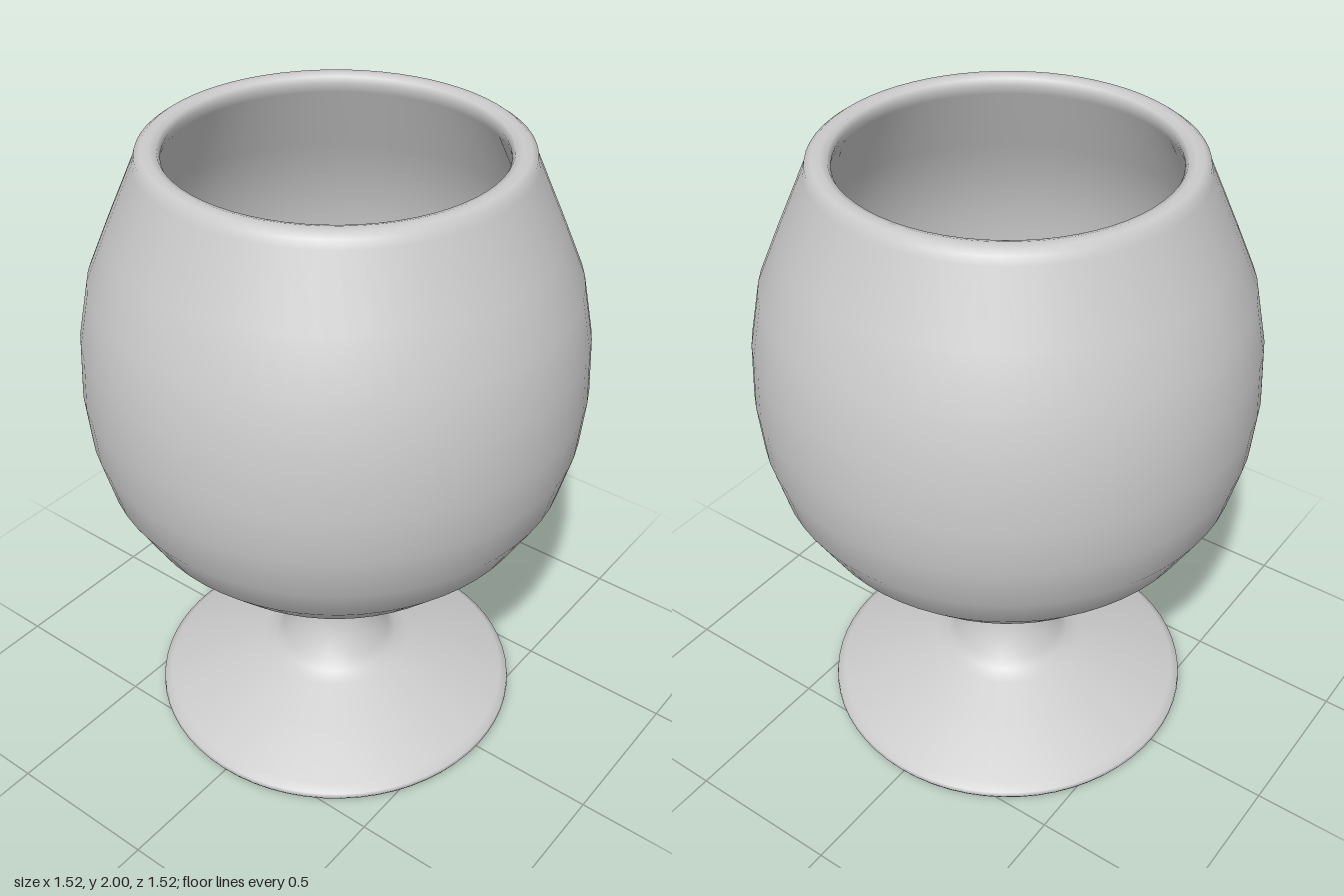
import * as THREE from 'three';

const SEGMENTS = 64;

// Revolves a list of [radius, height] pairs into a smooth surface.
function turned(name, profile, material) {
  const points = profile.map(([r, y]) => new THREE.Vector2(r, y));
  const mesh = new THREE.Mesh(new THREE.LatheGeometry(points, SEGMENTS), material);
  mesh.name = name;
  return mesh;
}

export function createModel() {
  const group = new THREE.Group();
  group.name = 'snifterGlass';
  const material = new THREE.MeshStandardMaterial({ color: 0xcccccc });

  // Shallow hollow under the foot
  group.add(turned('footUnderside', [
    [0, 0.08], [0.15, 0.065], [0.35, 0.035], [0.54, 0.01], [0.58, 0],
  ], material));

  // Foot rim and cone, flowing into the stem
  group.add(turned('footAndStem', [
    [0.58, 0], [0.595, 0.008], [0.602, 0.02], [0.6, 0.035], [0.575, 0.052],
    [0.4, 0.117], [0.25, 0.172], [0.205, 0.19], [0.18, 0.22], [0.15, 0.272],
    [0.13, 0.33], [0.125, 0.39], [0.135, 0.45], [0.16, 0.5], [0.2, 0.533],
    [0.26, 0.555], [0.34, 0.575],
  ], material));

  // Bowl: outer wall, rounded lip, inner wall and floor
  group.add(turned('bowl', [
    [0.34, 0.575], [0.43, 0.64], [0.52, 0.715], [0.63, 0.83], [0.71, 0.97],
    [0.748, 1.12], [0.76, 1.27], [0.75, 1.44], [0.715, 1.61], [0.65, 1.76],
    [0.56, 1.96], [0.553, 1.985], [0.535, 1.998], [0.51, 2], [0.49, 1.993],
    [0.481, 1.975], [0.49, 1.945],
    [0.59, 1.73], [0.65, 1.59], [0.688, 1.43], [0.7, 1.27], [0.69, 1.13],
    [0.65, 1], [0.57, 0.87], [0.47, 0.76], [0.38, 0.68], [0.3, 0.635],
    [0.15, 0.615], [0, 0.61],
  ], material));

  return group;
}
